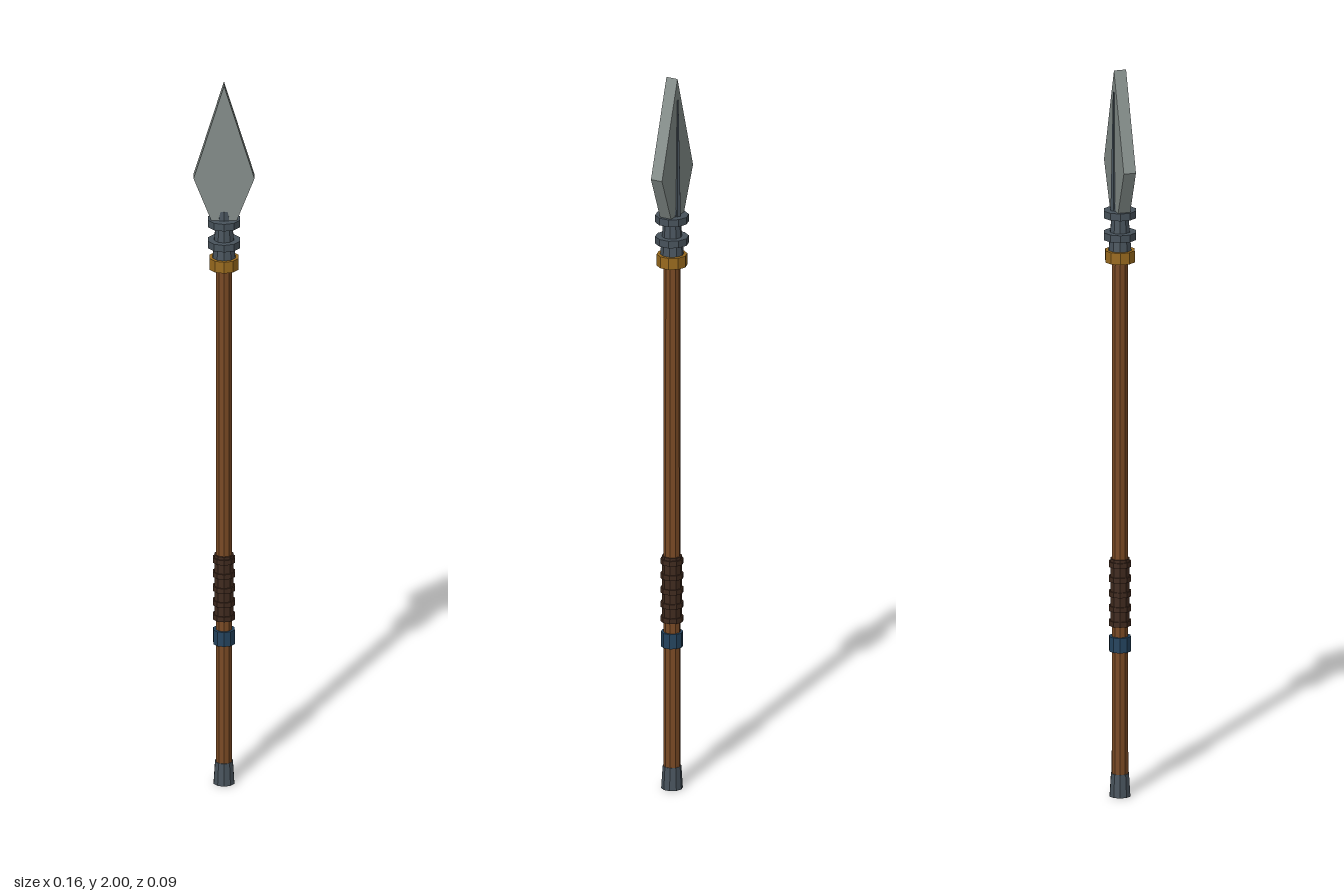
import * as THREE from 'three';

export function createModel() {
  const spear = new THREE.Group();
  spear.name = 'spear';

  const material = (color) => new THREE.MeshStandardMaterial({ color, flatShading: true });
  const wood = material(0x7a4a24);
  const leather = material(0x402a1e);
  const cloth = material(0x24445f);
  const brass = material(0x9a6b1e);
  const darkSteel = material(0x48535c);
  const steel = material(0x858e8b);

  const add = (name, geometry, mat) => {
    const mesh = new THREE.Mesh(geometry, mat);
    mesh.name = name;
    spear.add(mesh);
    return mesh;
  };

  // Upright faceted cylinder between two heights
  const turned = (name, y0, y1, rBottom, rTop, mat, sides = 10) => {
    const mesh = add(name, new THREE.CylinderGeometry(rTop, rBottom, y1 - y0, sides), mat);
    mesh.position.y = (y0 + y1) / 2;
    return mesh;
  };

  // Pole and metal foot
  turned('shaft', 0.02, 1.52, 0.023, 0.022, wood);
  turned('buttCap', 0, 0.063, 0.029, 0.025, darkSteel);

  // Hand grip: leather sleeve with raised cords, and a cloth band below
  turned('gripSleeve', 0.47, 0.655, 0.027, 0.027, leather);
  for (let i = 0; i < 5; i++) {
    const y = 0.478 + i * 0.0405;
    turned('gripCord', y - 0.007, y + 0.007, 0.031, 0.031, leather);
  }
  turned('clothBand', 0.4, 0.441, 0.03, 0.03, cloth);

  // Head fitting: brass collar, tapered socket and two rings
  turned('collar', 1.473, 1.505, 0.041, 0.041, brass);
  turned('socket', 1.5, 1.64, 0.032, 0.02, darkSteel);
  turned('lowerRing', 1.535, 1.555, 0.045, 0.045, darkSteel);
  turned('upperRing', 1.595, 1.615, 0.045, 0.045, darkSteel);

  // Flat leaf-shaped blade
  const outline = new THREE.Shape(
    [[-0.028, 1.6], [0.028, 1.6], [0.081, 1.735], [0, 2], [-0.081, 1.735]]
      .map(([x, y]) => new THREE.Vector2(x, y))
  );
  const blade = new THREE.ExtrudeGeometry(outline, { depth: 0.034, bevelEnabled: false });
  blade.translate(0, 0, -0.017);
  add('blade', blade, steel);

  // Tapered rib along the back of the blade
  turned('bladeRib', 1.6, 1.94, 0.01, 0.003, darkSteel, 6).position.z = -0.017;

  return spear;
}
